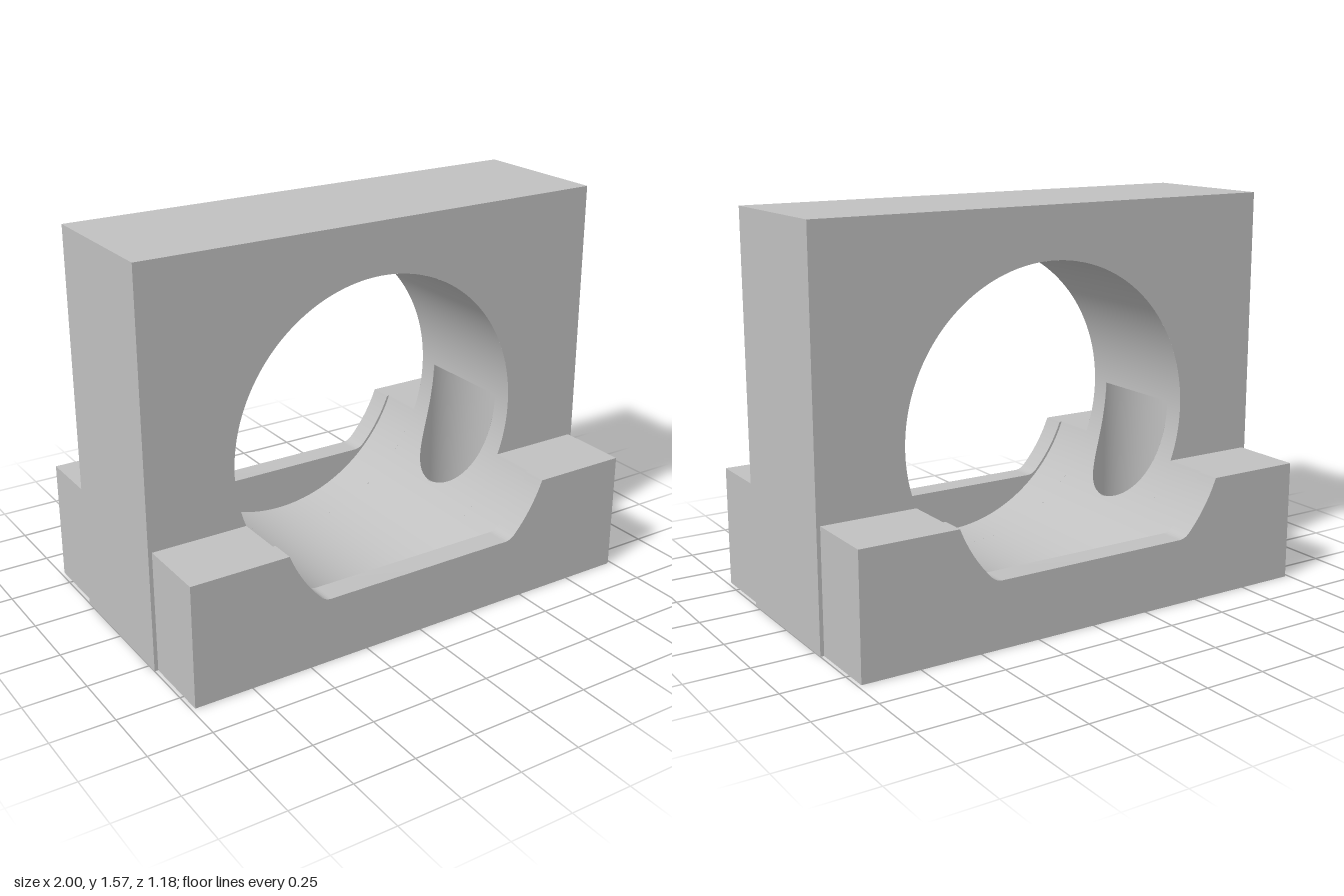
import * as THREE from 'three';
import { toCreasedNormals } from 'three/addons/utils/BufferGeometryUtils.js';

const W = 1, H = 1.57, D = 0.295;            // upright half width, height, half depth
const FW = 0.985, FH = 0.49;                 // foot half width and height
const BORE_Y = 0.72, BORE_R = 0.64;          // main bore
const BOLT_X = 0.69, BOLT_R = 0.218;         // blind vertical bolt holes, ending at the bore axis

export function createModel() {
  const model = new THREE.Group();
  const metal = new THREE.MeshStandardMaterial({ color: 0xc0c0c0, side: THREE.DoubleSide });
  metal.name = 'plain grey metal';

  const add = (name, geometry, parent = model) => {
    const mesh = new THREE.Mesh(geometry, metal);
    mesh.name = name;
    parent.add(mesh);
    return mesh;
  };
  const rect = (x0, y0, x1, y1) => new THREE.Shape([
    new THREE.Vector2(x0, y0), new THREE.Vector2(x1, y0),
    new THREE.Vector2(x1, y1), new THREE.Vector2(x0, y1)]);
  const circle = (x, y, r) => new THREE.Path().absarc(x, y, r, 0, Math.PI * 2, false);

  // Upright block: front and back faces pierced by the bore
  const upright = new THREE.Group();
  upright.name = 'uprightBlock';
  model.add(upright);
  const face = rect(-W, 0, W, H);
  face.holes.push(circle(0, BORE_Y, BORE_R));
  const faceGeometry = new THREE.ShapeGeometry(face, 128);
  add('frontFace', faceGeometry, upright).position.z = D;
  const back = add('backFace', faceGeometry, upright);
  back.position.z = -D;
  back.rotation.y = Math.PI;

  // Upright sides, top, and underside with the two bolt holes
  for (const s of [-1, 1]) {
    add('sideFace', new THREE.PlaneGeometry(2 * D, H).rotateY(s * Math.PI / 2)
      .translate(s * W, H / 2, 0), upright);
  }
  add('topFace', new THREE.PlaneGeometry(2 * W, 2 * D).rotateX(-Math.PI / 2)
    .translate(0, H, 0), upright);
  const under = rect(-W, -D, W, D);
  for (const s of [-1, 1]) under.holes.push(circle(s * BOLT_X, 0, BOLT_R));
  add('underside', new THREE.ShapeGeometry(under, 48).rotateX(Math.PI / 2), upright);

  // Bore wall: strips on either side of the openings cut by the bolt holes
  const boreWall = (a0, a1, n, side) => {
    const g = new THREE.PlaneGeometry(1, 1, n, 1);
    const p = g.attributes.position;
    for (let i = 0; i < p.count; i++) {
      const a = a0 + (a1 - a0) * (p.getX(i) + 0.5);
      const x = BORE_R * Math.cos(a), y = BORE_R * Math.sin(a);
      const cut = a0 <= Math.PI + 1e-6 ? 0
        : Math.sqrt(Math.max(0, BOLT_R ** 2 - (Math.abs(x) - BOLT_X) ** 2));
      const outer = (p.getY(i) > 0) === (side > 0);
      p.setXYZ(i, x, BORE_Y + y, side * (outer ? D : cut));
      g.attributes.normal.setXYZ(i, -Math.cos(a), -Math.sin(a), 0);
    }
    return g;
  };
  for (const side of [-1, 1]) {
    add('upperBoreWall', boreWall(Math.PI, 0, 64, side), upright);
    add('lowerBoreWall', boreWall(Math.PI * 2, Math.PI, 256, side), upright);
  }

  // Bolt holes: walls trimmed where they break into the bore, with flat ends
  for (const s of [-1, 1]) {
    const g = new THREE.CylinderGeometry(BOLT_R, BOLT_R, 1, 96, 1, true);
    const p = g.attributes.position;
    for (let i = 0; i < p.count; i++) {
      const x = Math.abs(p.getX(i) + s * BOLT_X);
      const top = BORE_Y - Math.sqrt(Math.max(0, BORE_R ** 2 - x ** 2));
      p.setY(i, p.getY(i) > 0 ? top : 0);
    }
    add('boltHoleWall', g.translate(s * BOLT_X, 0, 0), upright);

    const a = Math.acos((BORE_R - BOLT_X) / BOLT_R);
    const end = new THREE.Shape().absarc(0, 0, BOLT_R, -a, a, false);
    const cap = new THREE.ShapeGeometry(end, 48).rotateX(Math.PI / 2);
    if (s < 0) cap.rotateY(Math.PI);
    add('boltHoleEnd', cap.translate(s * BOLT_X, BORE_Y, 0), upright);
  }

  // Foot profiles: a round saddle, and an end lip with a raised flat floor
  const footStart = () => {
    const shape = new THREE.Shape();
    shape.moveTo(-FW, 0);
    shape.lineTo(FW, 0);
    shape.lineTo(FW, FH);
    return shape;
  };
  const saddle = footStart();
  const a = Math.asin((FH - BORE_Y) / BORE_R);
  saddle.absarc(0, BORE_Y, BORE_R, a, -Math.PI - a, true);
  saddle.lineTo(-FW, FH);

  const lipR = 0.63, floor = 0.265;
  const b0 = Math.asin((FH - BORE_Y) / lipR), b1 = Math.asin((0.285 - BORE_Y) / lipR);
  const lip = footStart();
  lip.absarc(0, BORE_Y, lipR, b0, b1, true);
  lip.quadraticCurveTo(0.436, floor, 0.41, floor);
  lip.lineTo(-0.41, floor);
  lip.quadraticCurveTo(-0.436, floor, -lipR * Math.cos(b1), 0.285);
  lip.absarc(0, BORE_Y, lipR, -Math.PI - b1, -Math.PI - b0, true);
  lip.lineTo(-FW, FH);

  const extrude = (shape, depth, segments) => toCreasedNormals(new THREE.ExtrudeGeometry(shape,
    { depth, bevelEnabled: false, curveSegments: segments }), 0.4);
  const saddleGeometry = extrude(saddle, 0.195, 64);
  const lipGeometry = extrude(lip, 0.1, 16);
  for (const [name, turn] of [['frontFoot', 0], ['backFoot', Math.PI]]) {
    const foot = new THREE.Group();
    foot.name = name;
    foot.rotation.y = turn;
    add('saddle', saddleGeometry, foot).position.z = D;
    add('endLip', lipGeometry, foot).position.z = 0.49;
    model.add(foot);
  }
  return model;
}
